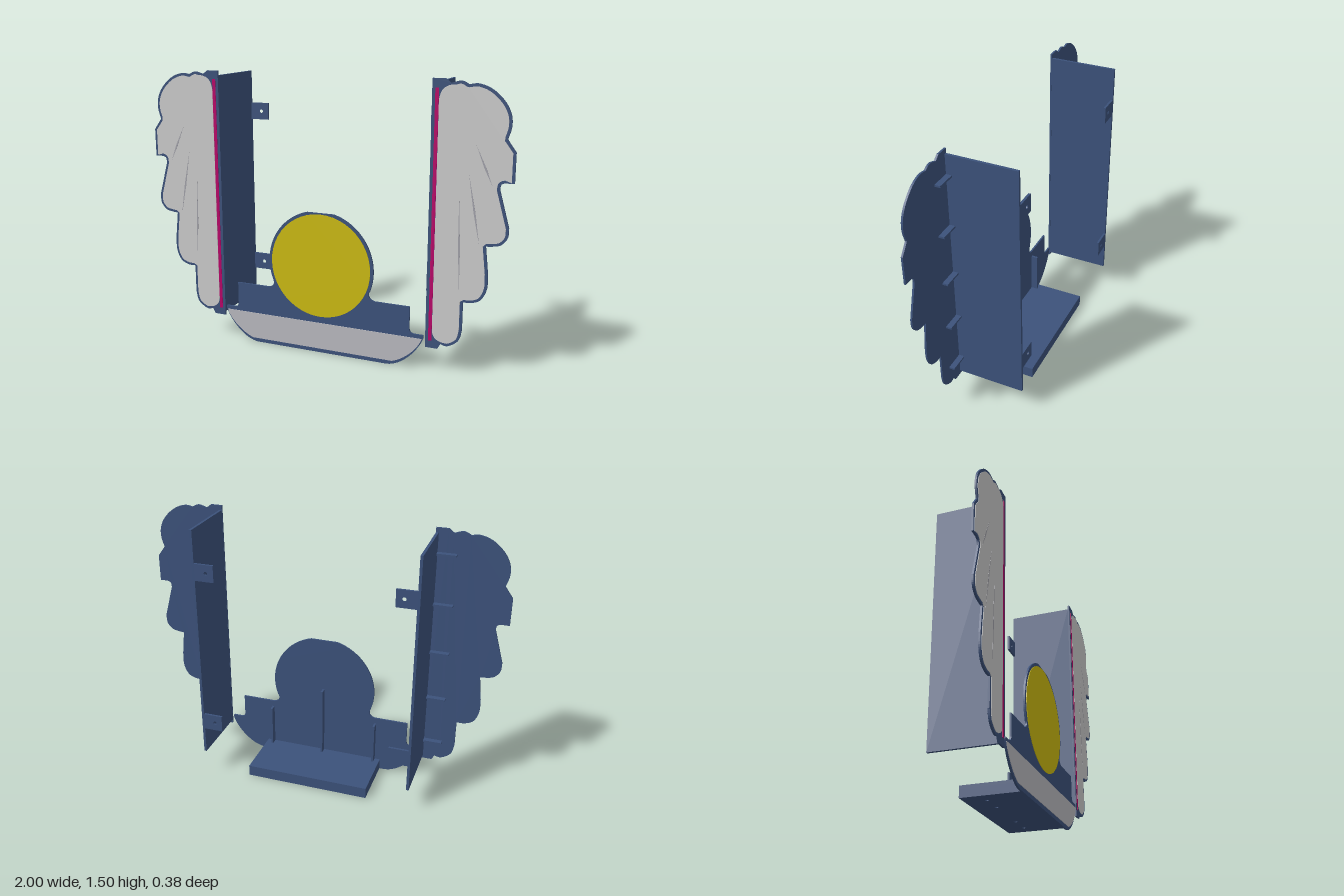
import * as THREE from 'three';

const mat = (color) => new THREE.MeshStandardMaterial({ color });
const BLUE = mat(0x3c527b), GREY = mat(0xcccccc), BOWL = mat(0xbabac0);
const YELLOW = mat(0xccbb11), MAGENTA = mat(0xb80068), LINE = mat(0xa2a2aa);
const BACK = 0.177, FACE = 0.187, FRONT = 0.19;
const V = (x, y) => new THREE.Vector2(x, y);

function add(group, name, geometry, material) {
  const mesh = new THREE.Mesh(geometry, material);
  mesh.name = name;
  group.add(mesh);
  return mesh;
}

// Box given by its limits on each axis
function box(group, name, [x0, x1], [y0, y1], [z0, z1], material = BLUE) {
  const g = new THREE.BoxGeometry(Math.abs(x1 - x0), y1 - y0, z1 - z0);
  g.translate((x0 + x1) / 2, (y0 + y1) / 2, (z0 + z1) / 2);
  return add(group, name, g, material);
}

// Flat plate between two z values
function plate(group, name, shape, z0, z1, material) {
  const g = new THREE.ExtrudeGeometry(shape, { depth: z1 - z0, bevelEnabled: false, curveSegments: 24 });
  g.translate(0, 0, z0);
  return add(group, name, g, material);
}

function circleHole(x, y, r) {
  return new THREE.Path().absarc(x, y, r, 0, Math.PI * 2, true);
}

// Feathered wing edge from top to bottom; each run is one smooth lobe
const LOBES = [
  [[0.679, 1.479], [0.727, 1.492], [0.765, 1.476]],
  [[0.765, 1.476], [0.813, 1.481], [0.877, 1.457], [0.936, 1.404], [0.968, 1.345], [0.973, 1.286], [0.957, 1.227]],
  [[1, 1.168], [1, 1.019]],
  [[0.955, 1.019], [0.937, 1.01], [0.932, 0.985]],
  [[0.984, 0.8], [0.98, 0.75], [0.95, 0.714], [0.909, 0.703], [0.877, 0.7]],
  [[0.893, 0.56], [0.892, 0.484], [0.866, 0.425], [0.82, 0.402], [0.775, 0.4]],
  [[0.775, 0.249], [0.759, 0.19], [0.706, 0.153], [0.668, 0.158]],
];

function wingEdge() {
  const pts = [];
  for (const run of LOBES) {
    const p = run.map(([x, y]) => V(x, y));
    pts.push(...(p.length > 2 ? new THREE.SplineCurve(p).getPoints(p.length * 5) : p));
  }
  return pts.filter((p, i) => i === 0 || p.distanceTo(pts[i - 1]) > 1e-5);
}

// Move an open edge inwards by d
function inset(pts, d) {
  return pts.map((p, i) => {
    const a = pts[Math.max(i - 1, 0)], b = pts[Math.min(i + 1, pts.length - 1)];
    const t = b.clone().sub(a).normalize();
    return V(p.x + t.y * d, p.y - t.x * d);
  });
}

// Wing with its side panel, on side s = 1 or -1
function wing(s) {
  const g = new THREE.Group();
  g.name = s > 0 ? 'leftWing' : 'rightWing';
  const side = (pts) => new THREE.Shape(pts.map((p) => V(p.x * s, p.y)));
  const edge = wingEdge();

  plate(g, 'wingPlate', side([V(0.587, 0.13), V(0.587, 1.5), V(0.652, 1.5), ...edge, V(0.652, 0.13)]), BACK, FACE, BLUE);

  // Pale inlay with rounded inner corners
  const inner = inset(edge, 0.014).filter((p) => p.x > 0.70);
  const top = new THREE.QuadraticBezierCurve(V(0.622, 1.39), V(0.625, 1.475), inner[0]).getPoints(10);
  const bottom = new THREE.QuadraticBezierCurve(inner[inner.length - 1], V(0.625, 0.165), V(0.622, 0.23)).getPoints(10);
  plate(g, 'wingInlay', side([...top, ...inner.slice(1, -1), ...bottom]), FACE, FRONT - 0.0005, GREY);

  // Narrow tapered feather lines
  const lines = [
    [0.813, 1.19, 0.898, 0.998],
    [0.781, 1.056, 0.845, 0.703],
    [0.738, 0.933, 0.754, 0.457],
  ];
  for (const [x0, y0, x1, y1] of lines) {
    const a = V(x0, y0), b = V(x1, y1), m = a.clone().lerp(b, 0.55);
    const n = V(y1 - y0, x0 - x1).normalize().multiplyScalar(0.005);
    plate(g, 'featherLine', side([a, m.clone().add(n), b, m.clone().sub(n)]), FACE, FRONT, LINE);
  }

  box(g, 'accentStrip', [0.603 * s, 0.621 * s], [0.17, 1.455], [FACE, FRONT - 0.001], MAGENTA);
  box(g, 'sidePanel', [0.588 * s, 0.602 * s], [0.15, 1.475], [-0.19, BACK]);

  // Stiffening ribs behind the wing
  for (let i = 0; i < 5; i++) {
    const y = 0.26 + i * 0.277;
    box(g, 'wingRib', [0.6 * s, 0.705 * s], [y - 0.005, y + 0.005], [0.147, BACK]);
  }

  // Mounting tabs with screw holes
  for (const y of [0.35, 1.248]) {
    const tab = side([V(0.481, y - 0.047), V(0.59, y - 0.047), V(0.59, y + 0.047), V(0.481, y + 0.047)]);
    tab.holes.push(circleHole(0.524 * s, y, 0.01));
    plate(g, 'mountingTab', tab, -0.19, -0.178, BLUE);
  }
  return g;
}

function centre() {
  const g = new THREE.Group();
  g.name = 'centrePiece';

  // Backing plate: bowl, shoulders and a disc with a flattened top
  const s = new THREE.Shape();
  s.moveTo(-0.374, 0);
  s.lineTo(0.374, 0);
  s.bezierCurveTo(0.47, 0, 0.565, 0.12, 0.577, 0.18);
  s.lineTo(0.575, 0.19);
  s.lineTo(0.53, 0.19);
  s.quadraticCurveTo(0.5, 0.19, 0.5, 0.22);
  s.lineTo(0.5, 0.335);
  s.lineTo(0.31, 0.335);
  s.quadraticCurveTo(0.265, 0.345, 0.278, 0.385);
  const a0 = Math.atan2(0.385 - 0.49, 0.278), a1 = Math.asin(0.29 / 0.3);
  s.absarc(0, 0.49, 0.3, a0, a1, false);
  s.absarc(0, 0.49, 0.3, Math.PI - a1, Math.PI - a0, false);
  s.quadraticCurveTo(-0.265, 0.345, -0.31, 0.335);
  s.lineTo(-0.5, 0.335);
  s.lineTo(-0.5, 0.22);
  s.quadraticCurveTo(-0.5, 0.19, -0.53, 0.19);
  s.lineTo(-0.575, 0.19);
  s.lineTo(-0.577, 0.18);
  s.bezierCurveTo(-0.565, 0.12, -0.47, 0, -0.374, 0);
  plate(g, 'centrePlate', s, BACK, FACE, BLUE);

  const disc = new THREE.Shape().absarc(0, 0.49, 0.284, 0, Math.PI * 2, false);
  plate(g, 'discInlay', disc, FACE, FRONT, YELLOW);

  const bowl = new THREE.Shape();
  bowl.moveTo(-0.41, 0.022);
  bowl.lineTo(0.41, 0.022);
  bowl.bezierCurveTo(0.485, 0.045, 0.555, 0.12, 0.569, 0.17);
  bowl.lineTo(-0.569, 0.17);
  bowl.bezierCurveTo(-0.555, 0.12, -0.485, 0.045, -0.41, 0.022);
  plate(g, 'bowlInlay', bowl, FACE, FRONT, BOWL);

  // Base block with blind screw holes in its underside
  box(g, 'baseTop', [-0.35, 0.35], [0.045, 0.062], [-0.132, BACK]);
  const under = new THREE.Shape([V(-0.35, -BACK), V(0.35, -BACK), V(0.35, 0.132), V(-0.35, 0.132)]);
  for (const x of [-0.27, -0.14, 0.14, 0.27]) under.holes.push(circleHole(x, 0.02, 0.01));
  const base = new THREE.ExtrudeGeometry(under, { depth: 0.045, bevelEnabled: false });
  base.rotateX(-Math.PI / 2);
  add(g, 'baseUnderside', base, BLUE);

  // Upright ribs behind the plate
  for (const [x, top] of [[-0.313, 0.3], [0, 0.47], [0.313, 0.3]]) {
    box(g, 'uprightRib', [x - 0.006, x + 0.006], [0.06, top], [0.14, BACK]);
  }
  return g;
}

export function createModel() {
  const model = new THREE.Group();
  model.name = 'wingedFrame';
  model.add(wing(1), wing(-1), centre());
  return model;
}
